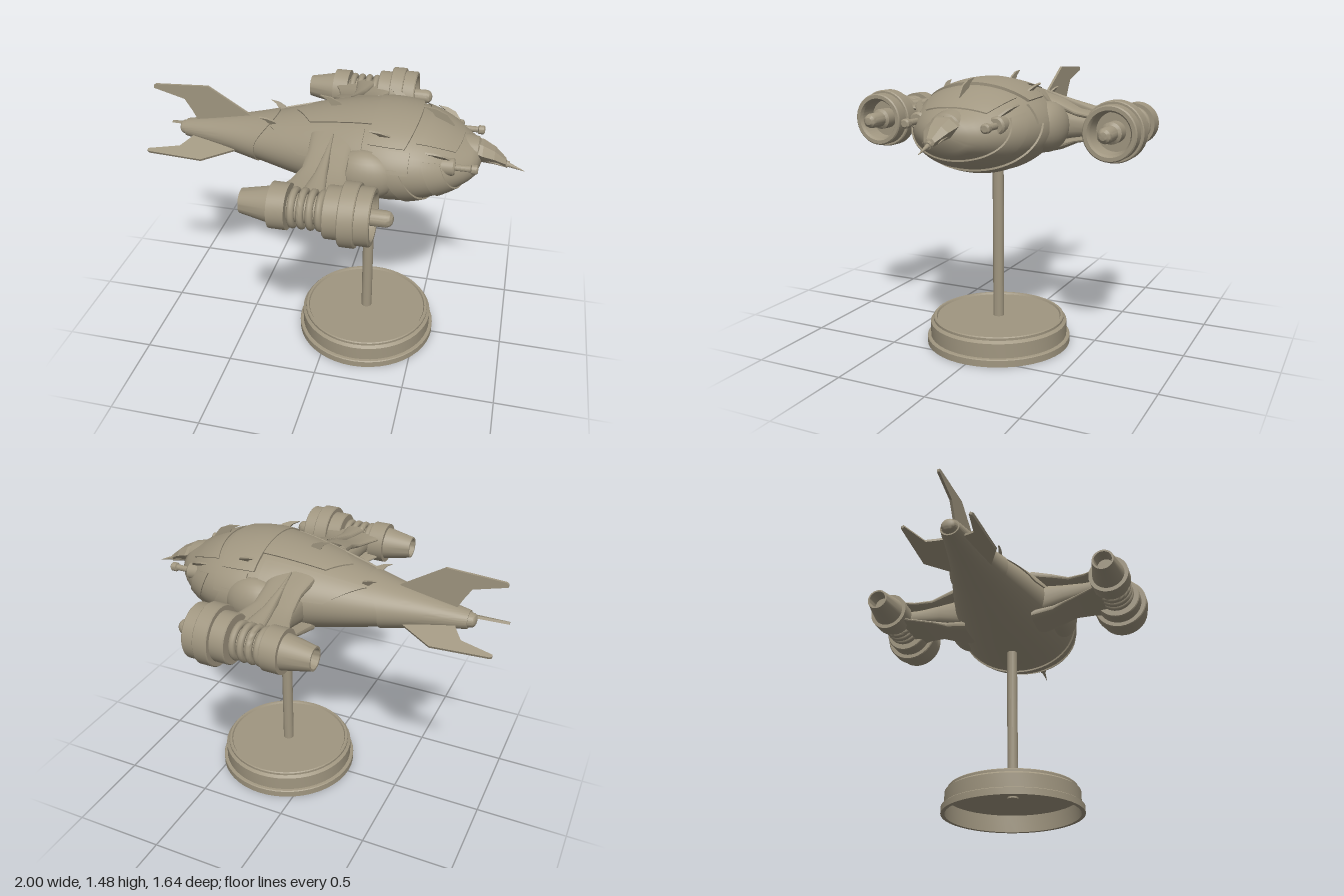
import * as THREE from 'three';
import { toCreasedNormals } from 'three/addons/utils/BufferGeometryUtils.js';

const material = new THREE.MeshStandardMaterial({ color: 0xa09680, side: THREE.DoubleSide });
material.name = 'warm grey';

function add(parent, name, geometry, crease = 0.5) {
  const mesh = new THREE.Mesh(toCreasedNormals(geometry, crease), material);
  mesh.name = name;
  parent.add(mesh);
  return mesh;
}

// Surface from a grid of points
function grid(rows) {
  const n = rows[0].length, index = [];
  for (let i = 0; i < rows.length - 1; i++)
    for (let j = 0; j < n - 1; j++) {
      const a = i * n + j, b = a + n;
      index.push(a, a + 1, b, b, a + 1, b + 1);
    }
  const g = new THREE.BufferGeometry();
  g.setAttribute('position', new THREE.Float32BufferAttribute(rows.flat(2), 3));
  g.setIndex(index);
  return g;
}

// Hull stations: x, then top, bottom, half width
const stations = [
  [-0.85, 1.24, 1.17, 0.04], [-0.6, 1.285, 1.125, 0.1], [-0.4, 1.325, 1.085, 0.16],
  [-0.2, 1.375, 1.045, 0.225], [0, 1.42, 1.01, 0.285], [0.2, 1.45, 0.99, 0.335],
  [0.35, 1.45, 0.985, 0.35], [0.5, 1.425, 1.01, 0.322], [0.6, 1.385, 1.045, 0.275],
  [0.68, 1.34, 1.085, 0.215], [0.74, 1.305, 1.125, 0.15], [0.775, 1.27, 1.175, 0.08], [0.785, 1.23, 1.22, 0.01]];
const hullAt = new THREE.CubicInterpolant(stations.map(s => s[0]), stations.flatMap(s => s.slice(1)), 3, new Float32Array(3));

// Point on the hull; angle 0 is the top, positive towards +z
function hullPoint(x, angle, off = 0) {
  const [top, bottom, w] = hullAt.evaluate(x);
  return [x, (top + bottom) / 2 + ((top - bottom) / 2 + off) * Math.cos(angle), (w + off) * Math.sin(angle)];
}

// Raised armour plate with its rim folded down to the hull
function plate(parent, name, a0, a1, x0, x1, off) {
  const nx = 14, na = Math.ceil(Math.abs(a1 - a0) * 10) + 2, rows = [];
  for (let i = -1; i <= nx + 1; i++) {
    const row = [], u = THREE.MathUtils.clamp(i / nx, 0, 1);
    for (let j = -1; j <= na + 1; j++) {
      const a = a0 + (a1 - a0) * THREE.MathUtils.clamp(j / na, 0, 1);
      const rim = i < 0 || j < 0 || i > nx || j > na;
      row.push(hullPoint(x0(a) + (x1(a) - x0(a)) * u, a, rim ? -0.004 : off));
    }
    rows.push(row);
  }
  add(parent, name, grid(rows));
}

function flat(points, depth) {
  const s = new THREE.Shape(points.map(p => new THREE.Vector2(...p)));
  return new THREE.ExtrudeGeometry(s, { depth, bevelEnabled: false }).translate(0, 0, -depth / 2);
}

// Turned part lying along x; points are [x, radius]
function turned(points, segments = 40) {
  return new THREE.LatheGeometry(points.map(([x, r]) => new THREE.Vector2(r, x)), segments).rotateZ(-Math.PI / 2);
}

function buildHull(ship) {
  const rows = [];
  for (let i = 0; i <= 60; i++) {
    const x = -0.85 + 1.635 * i / 60;
    rows.push(Array.from({ length: 49 }, (_, j) => hullPoint(x, j / 48 * Math.PI * 2)));
  }
  add(ship, 'hull', grid(rows), 0.6);
  add(ship, 'tailCap', new THREE.SphereGeometry(0.037, 20, 12).scale(0.5, 0.95, 1.05).translate(-0.85, 1.205, 0));

  // Armour plates
  const tau = Math.PI * 2;
  plate(ship, 'tailShell', 0, tau, () => -0.83, a => -0.4 + 0.1 * Math.max(0, Math.cos(a)) ** 2, 0.008);
  plate(ship, 'saddlePlate', -0.9, 0.9, () => 0.23, a => 0.46 - 0.06 * a * a, 0.014);
  plate(ship, 'spinePlate', -0.5, 0.5, a => -0.2 + 0.2 * Math.abs(a), () => 0.24, 0.008);
  plate(ship, 'browPlate', -0.75, 0.75, a => 0.5 - 0.07 * a * a, a => 0.68 - 0.05 * a * a, 0.007);
  for (const s of [1, -1]) {
    plate(ship, 'shoulderPlate', s * 0.62, s * 1.35, a => -0.32 + 0.25 * (Math.abs(a) - 0.62), () => 0.2, 0.008);
    plate(ship, 'cheekPlate', s * 0.95, s * 1.4, () => 0.26, () => 0.44, 0.01);
  }
  plate(ship, 'bellyBand', 1.3, tau - 1.3, a => 0.34 - 0.13 * Math.cos(a), a => 0.42 - 0.13 * Math.cos(a), 0.01);
  plate(ship, 'chinBand', 1.1, tau - 1.1, a => 0.53 - 0.08 * Math.cos(a), a => 0.62 - 0.08 * Math.cos(a), 0.009);
}

function buildNose(ship) {
  add(ship, 'noseCollar', turned([[0.64, 0.1], [0.7, 0.095], [0.755, 0.08], [0.765, 0.06], [0.765, 0]], 24).scale(1, 0.75, 1).translate(0, 1.265, 0));
  // Angular beak: x, half width, top, bottom
  const beak = [[0.7, 0.07, 1.325, 1.235], [0.78, 0.085, 1.305, 1.215], [0.84, 0.065, 1.275, 1.205],
    [0.9, 0.03, 1.225, 1.185], [0.905, 0.002, 1.21, 1.19]];
  add(ship, 'beak', grid(beak.map(([x, w, t, b]) => {
    const m = b + (t - b) * 0.6;
    return [[x, t, w * 0.45], [x, m, w], [x, b, w * 0.5], [x, b, -w * 0.5], [x, m, -w], [x, t, -w * 0.45], [x, t, w * 0.45]];
  })), 0.2);
  const spike = add(ship, 'noseSpike', turned([[0, 0.018], [0.03, 0.018], [0.03, 0.012], [0.12, 0.001]], 12));
  spike.position.set(0.885, 1.203, 0);
  spike.rotation.z = -0.32;
  for (const s of [1, -1]) {
    const tusk = add(ship, 'tusk', new THREE.ConeGeometry(0.012, 0.1, 8).rotateZ(-Math.PI / 2));
    tusk.position.set(0.85, 1.215, s * 0.04);
    tusk.rotation.z = -0.3;
    const gun = add(ship, 'gun', turned([[0.56, 0.045], [0.65, 0.045], [0.66, 0.035], [0.66, 0.016], [0.735, 0.016],
      [0.74, 0.024], [0.765, 0.024], [0.772, 0.016], [0.772, 0]], 20));
    gun.position.set(0, 1.265, s * 0.215);
  }
}

function buildFins(ship) {
  // Three tail fins
  for (const [angle, size] of [[0, 1], [1.99, 0.87], [-1.99, 0.87]]) {
    const fin = add(ship, 'tailFin', flat([[-0.38, 0.06], [-0.69, 0.252], [-0.99, 0.235], [-1, 0.228], [-1, 0.212],
      [-0.83, 0.165], [-0.79, 0.1], [-0.75, 0.02], [-0.5, 0.02]], 0.014).scale(1, size, 1));
    fin.position.y = 1.21;
    fin.rotation.x = angle;
  }
  // Swept hooks standing on the hull: x, angle round the hull, size
  for (const [x, a, size] of [[0.0, 0, 1], [0.55, 0, 1.15], [-0.32, 0.5, 0.75], [-0.32, -0.5, 0.75],
    [0.3, 0.72, 0.9], [0.3, -0.72, 0.9], [0.58, 0.95, 0.9], [0.58, -0.95, 0.9]]) {
    const hook = add(ship, 'hookFin', flat([[0.065, -0.025], [0.03, 0.022], [-0.02, 0.045], [-0.075, 0.052],
      [-0.035, 0.028], [-0.015, 0], [-0.02, -0.03]], 0.01).scale(size, size, 1));
    hook.position.set(...hullPoint(x, a, 0.005));
    hook.rotation.x = a * 0.85;
  }
}

// Spar from cross-sections across z: z, x half width, top, bottom
function spar(sections) {
  return grid(sections.map(([z, hx, t, b]) => Array.from({ length: 25 }, (_, i) => {
    const a = i / 24 * Math.PI * 2, c = Math.cos(a), s = Math.sin(a);
    return [0.045 + hx * Math.sign(c) * Math.abs(c) ** 0.7, (t + b) / 2 + (t - b) / 2 * Math.sign(s) * Math.abs(s) ** 0.7, z];
  })));
}

function buildSide(ship, side) {
  const wing = new THREE.Group();
  wing.name = side > 0 ? 'leftNacelle' : 'rightNacelle';
  wing.scale.z = side;
  ship.add(wing);

  // Pylon with upper and lower rails
  add(wing, 'pylonCore', spar([[0.22, 0.09, 1.3, 1.1], [0.38, 0.085, 1.28, 1.14], [0.5, 0.09, 1.265, 1.155], [0.62, 0.1, 1.265, 1.155]]));
  add(wing, 'upperRail', spar([[0.2, 0.12, 1.38, 1.31], [0.32, 0.105, 1.345, 1.29], [0.42, 0.11, 1.3, 1.26], [0.52, 0.14, 1.285, 1.25], [0.6, 0.18, 1.28, 1.25]]));
  add(wing, 'lowerRail', spar([[0.2, 0.12, 1.12, 1.05], [0.32, 0.105, 1.135, 1.08], [0.42, 0.11, 1.155, 1.125], [0.52, 0.14, 1.17, 1.14], [0.6, 0.18, 1.175, 1.145]]));
  add(wing, 'pylonRidge', spar([[0.22, 0.004, 1.385, 1.3], [0.36, 0.018, 1.345, 1.28], [0.48, 0.032, 1.315, 1.25], [0.62, 0.055, 1.3, 1.25]]));
  add(wing, 'hullBlister', new THREE.SphereGeometry(1, 28, 16).scale(0.17, 0.13, 0.1).translate(0.22, 1.215, 0.295));

  // Engine
  const engine = new THREE.Group();
  engine.name = 'engine';
  engine.position.set(0, 1.213, 0.665);
  wing.add(engine);
  add(engine, 'engineCore', turned([[-0.1, 0.068], [0.16, 0.068]]));
  for (let i = 0; i < 4; i++)
    add(engine, 'coil', new THREE.TorusGeometry(0.082, 0.018, 10, 32).rotateY(Math.PI / 2).translate(-0.035 + i * 0.044, 0, 0), 0.9);
  add(engine, 'nozzle', turned([[-0.22, 0], [-0.22, 0.045], [-0.295, 0.05], [-0.295, 0.06], [-0.145, 0.09],
    [-0.145, 0.112], [-0.06, 0.112], [-0.06, 0.06]]));
  add(engine, 'intake', turned([[0.12, 0.06], [0.12, 0.122], [0.125, 0.127], [0.195, 0.127], [0.195, 0.15], [0.2, 0.155],
    [0.267, 0.155], [0.272, 0.15], [0.272, 0.14], [0.335, 0.14], [0.341, 0.134], [0.341, 0.115], [0.325, 0.105], [0.24, 0.1], [0.24, 0]]));
  add(engine, 'spinner', turned([[0.23, 0.055], [0.31, 0.055], [0.32, 0.04], [0.4, 0.04], [0.418, 0.034], [0.43, 0.02], [0.434, 0]], 24));
}

function buildStand(model) {
  const rim = [[0.375, 0.1], [0.375, 0], [0.397, 0], [0.397, 0.036], [0.392, 0.04], [0.378, 0.042], [0.378, 0.12],
    [0.362, 0.132], [0.362, 0.145], [0.357, 0.15], [0.345, 0.15], [0.34, 0.14], [0, 0.14]];
  add(model, 'base', new THREE.LatheGeometry(rim.map(p => new THREE.Vector2(...p)), 48)).position.x = 0.197;
  add(model, 'baseUnderside', new THREE.CircleGeometry(0.376, 48).rotateX(Math.PI / 2)).position.set(0.197, 0.1, 0);
  add(model, 'pole', new THREE.CylinderGeometry(0.03, 0.03, 0.96, 24)).position.set(0.197, 0.57, 0);
}

export function createModel() {
  const model = new THREE.Group();
  model.name = 'shipOnStand';
  const ship = new THREE.Group();
  ship.name = 'ship';
  model.add(ship);
  buildHull(ship);
  buildNose(ship);
  buildFins(ship);
  for (const side of [1, -1]) buildSide(ship, side);
  buildStand(model);
  return model;
}
